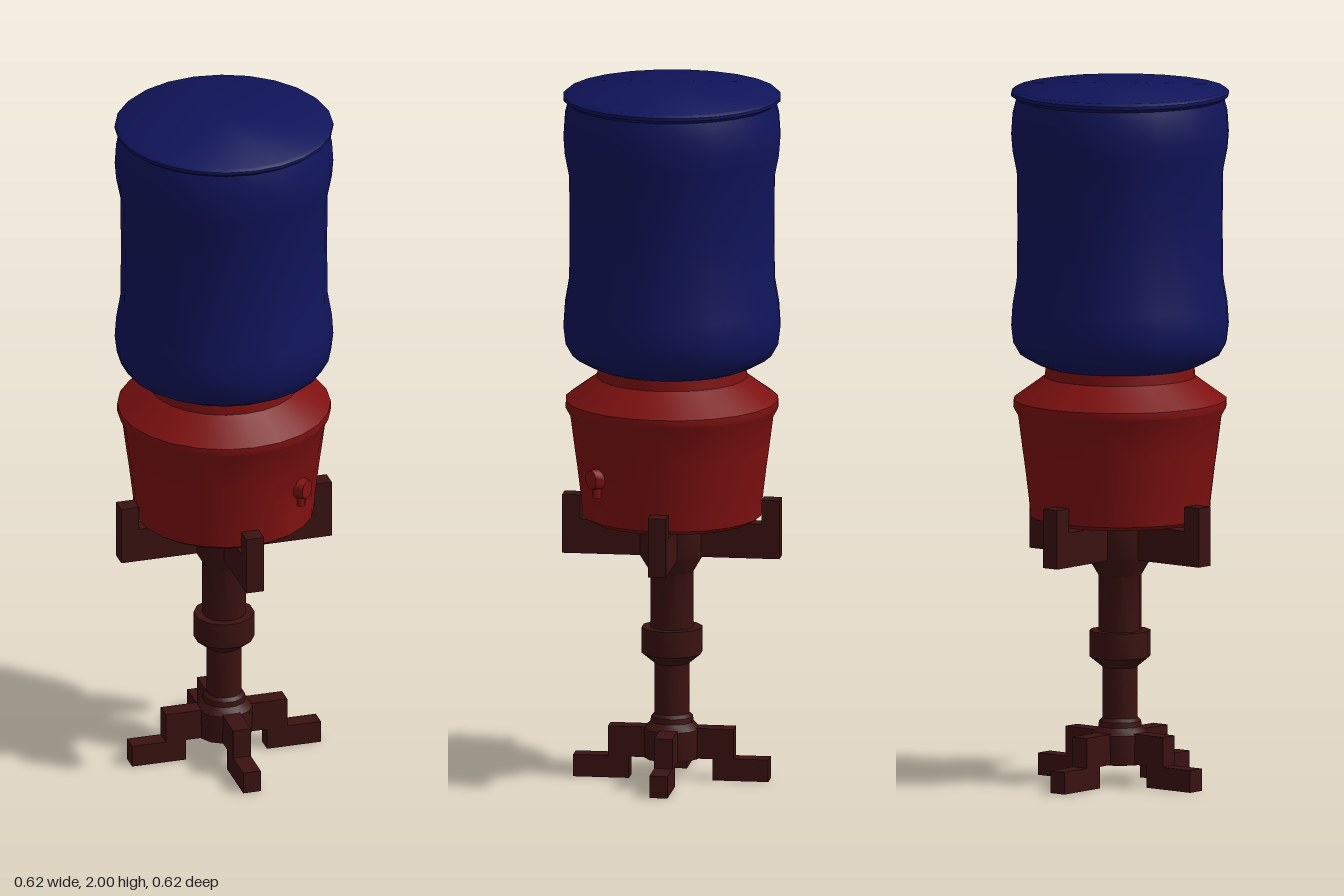
import * as THREE from 'three';
import { toCreasedNormals } from 'three/addons/utils/BufferGeometryUtils.js';

const blue = new THREE.MeshStandardMaterial({ color: 0x10145a });
const red = new THREE.MeshStandardMaterial({ color: 0x7d1010 });
const brown = new THREE.MeshStandardMaterial({ color: 0x3a1210 });

const TILT = Math.PI / 12; // the cross of arms and feet is turned 15 degrees

function mesh(name, geometry, material) {
  const m = new THREE.Mesh(geometry, material);
  m.name = name;
  return m;
}

// Lathe from [radius, height] pairs listed bottom to top
function lathe(points, sides) {
  return new THREE.LatheGeometry(points.map(([r, y]) => new THREE.Vector2(r, y)), sides);
}

// Box running outward along +x between two radii and two heights
function radialBox(name, r0, r1, y0, y1, width) {
  const g = new THREE.BoxGeometry(r1 - r0, y1 - y0, width);
  g.translate((r0 + r1) / 2, (y0 + y1) / 2, 0);
  return mesh(name, g, brown);
}

// Four copies of a set of radial boxes
function cross(name, makeParts) {
  const group = new THREE.Group();
  group.name = name;
  for (let i = 0; i < 4; i++) {
    const arm = new THREE.Group();
    arm.name = name + (i + 1);
    arm.add(...makeParts());
    arm.rotation.y = -TILT + i * Math.PI / 2;
    group.add(arm);
  }
  return group;
}

export function createModel() {
  const model = new THREE.Group();
  model.name = 'waterDispenser';

  // Bottle standing upside down
  const bottle = lathe([
    [0, 1.195], [0.2, 1.195], [0.24, 1.21], [0.285, 1.235], [0.305, 1.27], [0.311, 1.32],
    [0.307, 1.38], [0.295, 1.45], [0.293, 1.6], [0.295, 1.76], [0.307, 1.82], [0.311, 1.87],
    [0.307, 1.93], [0.297, 1.968], [0.311, 1.978], [0.311, 1.987], [0.302, 1.995], [0, 2],
  ], 24);
  model.add(mesh('bottle', toCreasedNormals(bottle, 0.75), blue));

  // Crock, with a shallow recess pressed in around the tap
  const tapAngle = 0.47;
  const crock = lathe([
    [0, 0.758], [0.238, 0.758], [0.256, 0.77], [0.26, 0.82], [0.265, 0.86], [0.271, 0.91],
    [0.278, 0.96], [0.291, 1.06], [0.305, 1.085], [0.304, 1.105], [0.235, 1.155],
    [0.215, 1.17], [0.212, 1.2], [0, 1.2],
  ], 24);
  const p = crock.attributes.position;
  for (let i = 0; i < p.count; i++) {
    const x = p.getX(i), y = p.getY(i), z = p.getZ(i);
    const da = Math.abs(Math.atan2(x, z) - tapAngle) / 0.45;
    const dy = Math.abs(y - 0.89) / 0.11;
    const k = 1 - 0.07 * Math.max(0, 1 - da * da) * Math.max(0, 1 - dy * dy);
    p.setXYZ(i, x * k, y, z * k);
  }
  model.add(mesh('crock', toCreasedNormals(crock, 0.6), red));

  // Tap
  const tap = new THREE.Group();
  tap.name = 'tap';
  const spout = new THREE.CylinderGeometry(0.028, 0.036, 0.06, 10);
  spout.rotateX(Math.PI / 2);
  const nozzle = new THREE.CylinderGeometry(0.012, 0.012, 0.04, 8);
  nozzle.translate(0, -0.035, 0.01);
  tap.add(mesh('tapBody', toCreasedNormals(spout, 0.7), red), mesh('tapNozzle', nozzle, red));
  tap.position.set(0.248 * Math.sin(tapAngle), 0.9, 0.248 * Math.cos(tapAngle));
  tap.rotation.y = tapAngle;
  model.add(tap);

  // Turned post
  const post = lathe([
    [0, 0.06], [0.08, 0.06], [0.082, 0.145], [0.062, 0.165], [0.06, 0.18], [0.05, 0.19],
    [0.05, 0.335], [0.087, 0.365], [0.087, 0.44], [0.062, 0.44], [0.062, 0.6],
    [0.092, 0.65], [0.092, 0.762], [0, 0.762],
  ], 12);
  model.add(mesh('post', toCreasedNormals(post, 0.6), brown));

  // Cradle arms with upright ends
  model.add(cross('cradleArm', () => [
    radialBox('armBar', 0, 0.26, 0.65, 0.75, 0.052),
    radialBox('armUpright', 0.26, 0.312, 0.65, 0.82, 0.052),
  ]));

  // Stepped feet
  model.add(cross('foot', () => [
    radialBox('footBar', 0, 0.18, 0.062, 0.15, 0.052),
    radialBox('footPad', 0.12, 0.28, 0, 0.064, 0.052),
  ]));

  return model;
}
